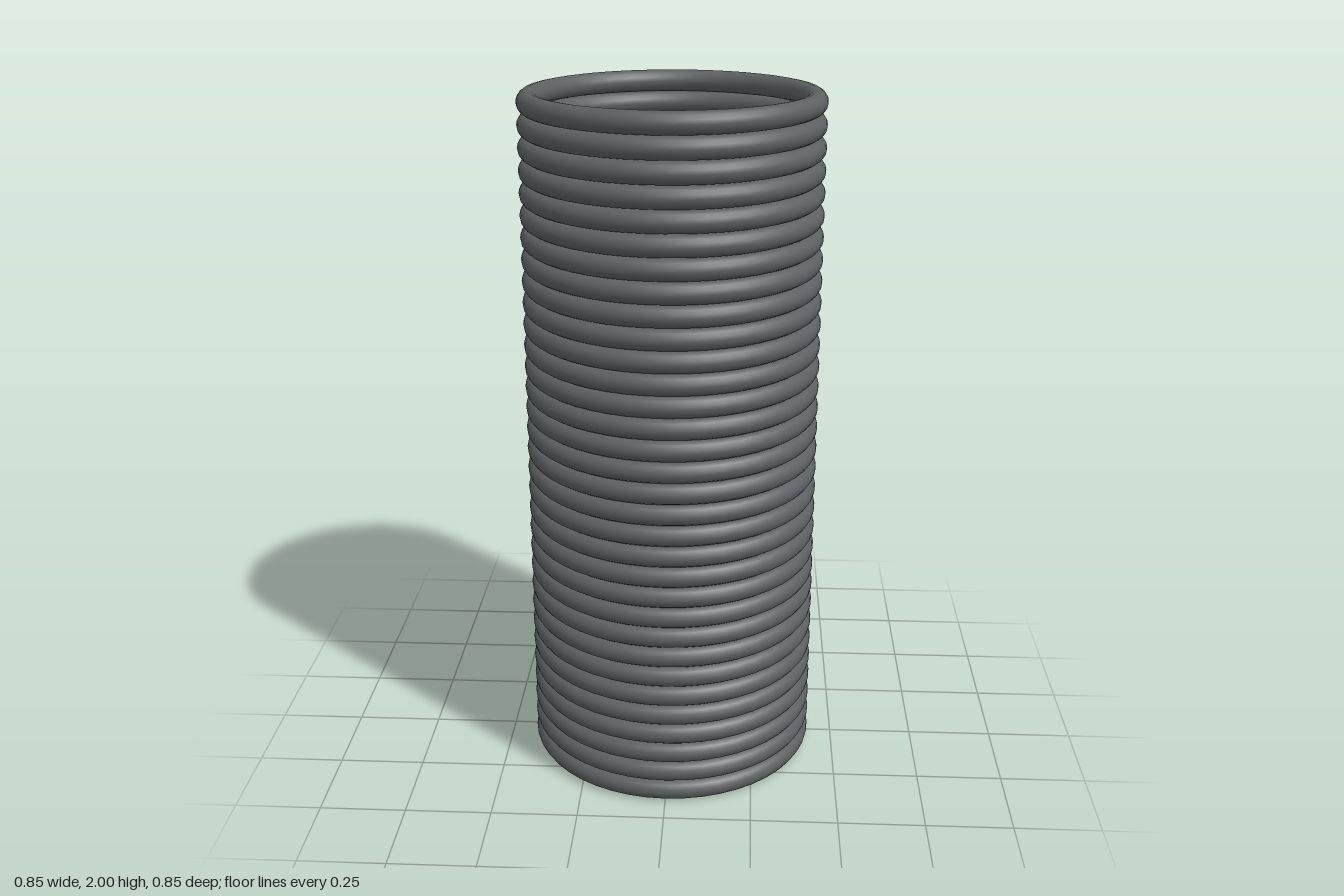
import * as THREE from 'three';

export function createModel() {
  const group = new THREE.Group();
  group.name = 'ringStack';
  const darkGrey = new THREE.MeshStandardMaterial({ color: 0x5c6060 });
  darkGrey.name = 'darkGrey';

  // Identical rings stacked so that each touches the next
  const count = 32;
  const pitch = 2 / count;
  const ringGeometry = new THREE.TorusGeometry(0.395, pitch / 2, 16, 48);
  ringGeometry.rotateX(-Math.PI / 2);

  for (let i = 0; i < count; i++) {
    const ring = new THREE.Mesh(ringGeometry, darkGrey);
    ring.name = `ring${i + 1}`;
    ring.position.y = (i + 0.5) * pitch;
    group.add(ring);
  }
  return group;
}
